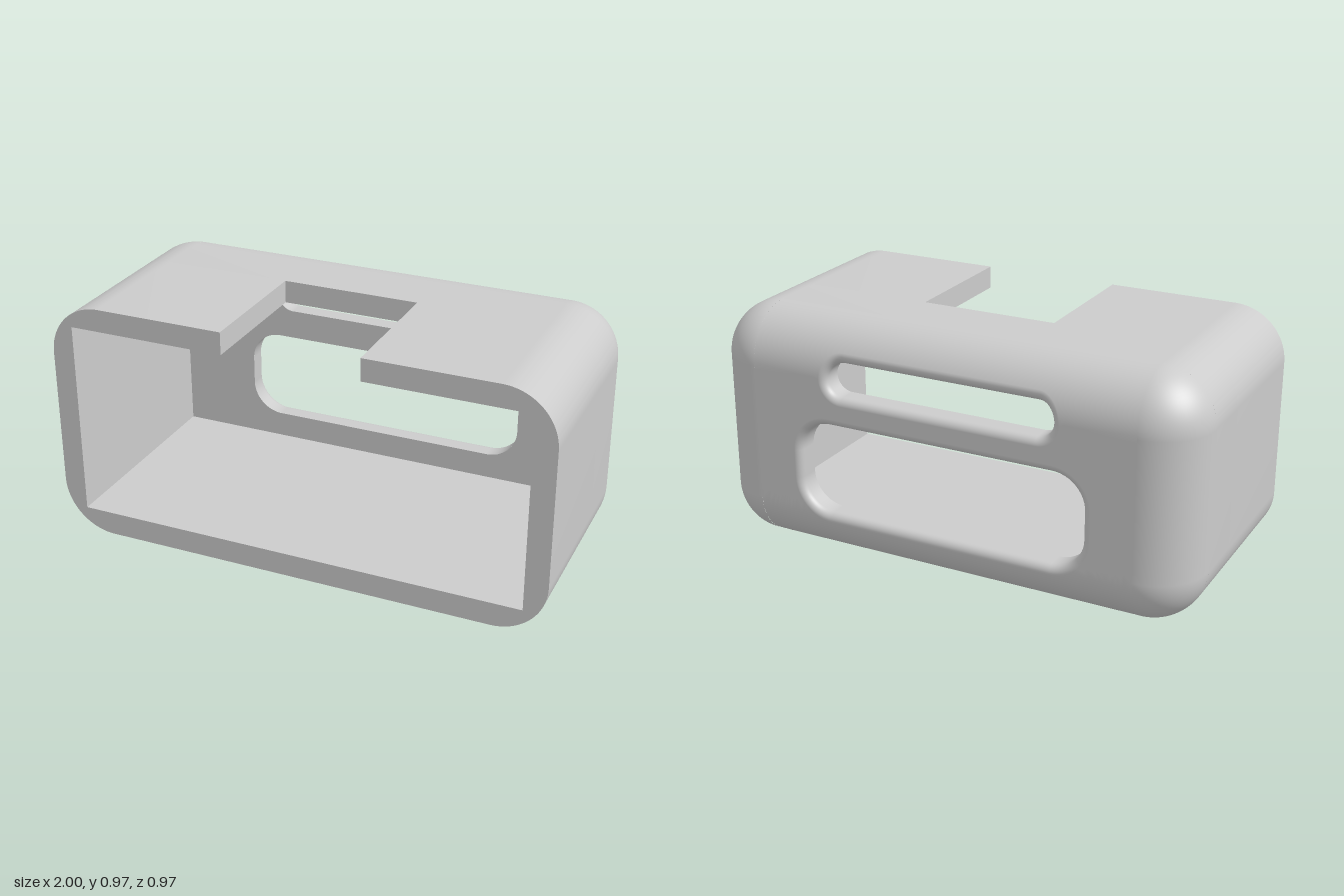
import * as THREE from 'three';
import { toCreasedNormals } from 'three/addons/utils/BufferGeometryUtils.js';

// Overall sizes
const W = 1, H = 0.97, R = 0.21;            // half width, height, edge radius
const FRONT = 0.485, BEND = -0.275;         // front plane, start of rear rounding
const NOTCH = { x: 0.275, z: -0.06 };
const CAVITY = { x: 0.91, y0: 0.095, y1: 0.88, z: -0.395 };
const CX = W - R, Y0 = R, Y1 = H - R;       // centres of the rounded corners
const FILLET = 0.03;

const SLOTS = [
  { name: 'upperSlotPanel', hw: 0.47, y0: 0.69, y1: 0.82, r: 0.065 },
  { name: 'lowerSlotPanel', hw: 0.595, y0: 0.2, y1: 0.57, r: 0.128 },
];
const FLAT = Y1 - Y0, ARC = R * Math.PI / 2, SPLIT = 0.63 - Y0;

function createMaterial() {
  return new THREE.MeshStandardMaterial({ color: 0xcccccc });
}

// Rounded rectangle, drawn clockwise from the top
function roundedRect(path, hw, y0, y1, r) {
  path.moveTo(-hw + r, y1);
  path.lineTo(hw - r, y1);
  path.absarc(hw - r, y1 - r, r, Math.PI / 2, 0, true);
  path.absarc(hw - r, y0 + r, r, 0, -Math.PI / 2, true);
  path.absarc(-hw + r, y0 + r, r, -Math.PI / 2, -Math.PI, true);
  path.absarc(-hw + r, y1 - r, r, Math.PI, Math.PI / 2, true);
  return path;
}

function rect(path, hw, y0, y1) {
  return path.moveTo(-hw, y0).lineTo(hw, y0).lineTo(hw, y1).lineTo(-hw, y1).closePath();
}

function extrude(shape, z0, z1) {
  const geo = new THREE.ExtrudeGeometry(shape, { depth: z1 - z0, bevelEnabled: false, curveSegments: 20 });
  geo.translate(0, 0, z0);
  return toCreasedNormals(geo, 0.5);
}

// Wrap the panel coordinate v (arc length up the back) onto the rounded back
function wrap(x, v) {
  const over = v < 0 ? v : Math.max(0, v - FLAT);
  const a = over / R;
  const n = new THREE.Vector3(0, Math.sin(a), -Math.cos(a));
  const core = new THREE.Vector3(x, Y0 + THREE.MathUtils.clamp(v, 0, FLAT), BEND);
  return { p: core.addScaledVector(n, R), n };
}

// Outline of a slot, paired with points on the surrounding panel border
function slotOutline({ hw, y0, y1, r }, v0, v1) {
  const K = 12, M = 16, list = [];
  const signs = [[1, 1], [-1, 1], [-1, -1], [1, -1]];
  const corner = ([sx, sy]) => ({
    c: new THREE.Vector2(sx * (hw - r), sy > 0 ? y1 - r : y0 + r),
    border: new THREE.Vector2(sx * CX, sy > 0 ? v1 : v0),
  });
  for (let k = 0; k < 4; k++) {
    const a = corner(signs[k]), b = corner(signs[(k + 1) % 4]);
    let n;
    for (let i = 0; i <= K; i++) {
      const t = (k + i / K) * Math.PI / 2;
      n = new THREE.Vector2(Math.cos(t), Math.sin(t));
      list.push({ p: a.c.clone().addScaledVector(n, r), n, border: a.border });
    }
    for (let i = 1; i < M; i++) {
      const c = a.c.clone().lerp(b.c, i / M);
      list.push({ p: c.addScaledVector(n, r), n, border: a.border.clone().lerp(b.border, i / M) });
    }
  }
  list.push(list[0]);
  return list;
}

// Slot wall, rolled outer edge and surrounding back surface as one grid
function slotPanel(slot, v0, v1) {
  const FR = 8, PR = 16, pos = [], nor = [], idx = [];
  const columns = slotOutline(slot, v0, v1).map(({ p, n, border }) => {
    const col = [];
    const n3 = new THREE.Vector3(n.x, n.y, 0), inward = n3.clone().negate();
    col.push({ p: new THREE.Vector3(p.x, p.y, CAVITY.z), n: inward });
    // Centre of a ball touching both the slot wall and the outer surface
    const c = new THREE.Vector3(p.x, p.y, 0).addScaledVector(n3, FILLET);
    const dy = c.y - THREE.MathUtils.clamp(c.y, Y0, Y1);
    const depth = Math.sqrt((R - FILLET) ** 2 - dy * dy);
    c.z = BEND - depth;
    const out = new THREE.Vector3(0, dy, -depth).normalize();
    const angle = inward.angleTo(out);
    for (let j = 0; j <= FR; j++) {
      const t = j / FR;
      const d = inward.clone().multiplyScalar(Math.sin((1 - t) * angle))
        .addScaledVector(out, Math.sin(t * angle)).normalize();
      col.push({ p: c.clone().addScaledVector(d, FILLET), n: d });
    }
    // Back surface from the rolled edge to the border
    const a = Math.asin(out.y);
    const v = THREE.MathUtils.clamp(c.y, Y0, Y1) - Y0 + a * R;
    for (let j = 1; j <= PR; j++) {
      const t = j / PR;
      col.push(wrap(THREE.MathUtils.lerp(c.x, border.x, t), THREE.MathUtils.lerp(v, border.y, t)));
    }
    return col;
  });
  const rows = columns[0].length;
  columns.forEach((col, i) => col.forEach((q, j) => {
    pos.push(q.p.x, q.p.y, q.p.z);
    nor.push(q.n.x, q.n.y, q.n.z);
    if (i === columns.length - 1 || j === rows - 1) return;
    const a = i * rows + j, b = a + rows;
    idx.push(a, b, a + 1, b, b + 1, a + 1);
  }));
  const geo = new THREE.BufferGeometry();
  geo.setAttribute('position', new THREE.Float32BufferAttribute(pos, 3));
  geo.setAttribute('normal', new THREE.Float32BufferAttribute(nor, 3));
  geo.setIndex(idx);
  return geo;
}

export function createModel() {
  const group = new THREE.Group();
  const material = createMaterial();
  const add = (name, geo) => {
    const mesh = new THREE.Mesh(geo, material);
    mesh.name = name;
    group.add(mesh);
  };

  // Front part of the sleeve, open at the top for the notch
  const open = new THREE.Shape();
  open.moveTo(NOTCH.x, H);
  open.lineTo(CX, H);
  open.absarc(CX, Y1, R, Math.PI / 2, 0, true);
  open.absarc(CX, Y0, R, 0, -Math.PI / 2, true);
  open.absarc(-CX, Y0, R, -Math.PI / 2, -Math.PI, true);
  open.absarc(-CX, Y1, R, Math.PI, Math.PI / 2, true);
  open.lineTo(-NOTCH.x, H);
  open.lineTo(-NOTCH.x, CAVITY.y1).lineTo(-CAVITY.x, CAVITY.y1).lineTo(-CAVITY.x, CAVITY.y0);
  open.lineTo(CAVITY.x, CAVITY.y0).lineTo(CAVITY.x, CAVITY.y1).lineTo(NOTCH.x, CAVITY.y1);
  open.closePath();
  add('notchedSleeve', extrude(open, NOTCH.z, FRONT));

  // Closed part of the sleeve behind the notch
  const ring = roundedRect(new THREE.Shape(), W, 0, H, R);
  ring.holes.push(rect(new THREE.Path(), CAVITY.x, CAVITY.y0, CAVITY.y1));
  add('rearSleeve', extrude(ring, BEND, NOTCH.z));

  // Cavity walls carried on to the back wall
  const e = 0.001;
  const liner = rect(new THREE.Shape(), CAVITY.x + e, CAVITY.y0 - e, CAVITY.y1 + e);
  liner.holes.push(rect(new THREE.Path(), CAVITY.x, CAVITY.y0, CAVITY.y1));
  add('cavityLiner', extrude(liner, CAVITY.z, BEND));

  // Inner face of the back wall
  const inner = rect(new THREE.Shape(), CAVITY.x, CAVITY.y0, CAVITY.y1);
  for (const s of SLOTS) inner.holes.push(roundedRect(new THREE.Path(), s.hw, s.y0, s.y1, s.r));
  add('innerBackWall', new THREE.ShapeGeometry(inner, 12).translate(0, 0, CAVITY.z));

  // Outer back with the two slots
  add(SLOTS[0].name, slotPanel(SLOTS[0], SPLIT, FLAT + ARC));
  add(SLOTS[1].name, slotPanel(SLOTS[1], -ARC, SPLIT));

  // Rounded rear corners, one quarter turn on each side
  const profile = [];
  for (const [y, start] of [[Y0, -Math.PI / 2], [Y1, 0]]) {
    for (let i = 0; i <= 20; i++) {
      const a = start + (i / 20) * Math.PI / 2;
      profile.push(new THREE.Vector2(Math.max(0, R * Math.cos(a)), y + R * Math.sin(a)));
    }
  }
  for (const [name, side, start] of [['leftRearCorner', 1, Math.PI / 2], ['rightRearCorner', -1, Math.PI]]) {
    add(name, new THREE.LatheGeometry(profile, 20, start, Math.PI / 2).translate(side * CX, 0, BEND));
  }
  return group;
}
